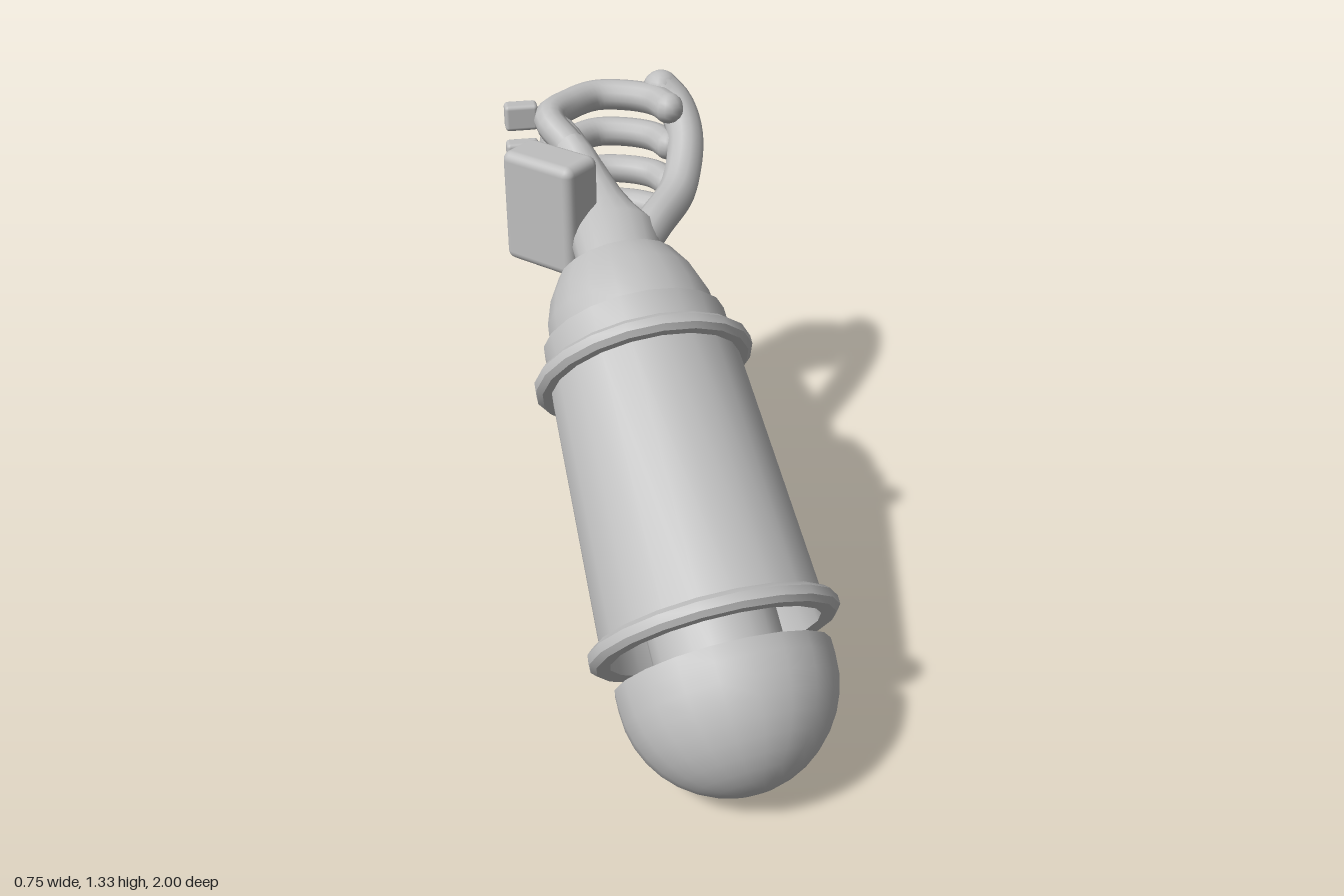
import * as THREE from 'three';
import { toCreasedNormals } from 'three/addons/utils/BufferGeometryUtils.js';
import { RoundedBoxGeometry } from 'three/addons/geometries/RoundedBoxGeometry.js';

const grey = new THREE.MeshStandardMaterial({ color: 0xbfbfbf });
grey.name = 'grey';

function add(parent, name, geometry, x = 0, y = 0, z = 0) {
  const mesh = new THREE.Mesh(geometry, grey);
  mesh.name = name;
  mesh.position.set(x, y, z);
  parent.add(mesh);
  return mesh;
}

// Turned part from [radius, height] pairs, listed bottom to top
function turned(points) {
  const profile = points.map(([r, h]) => new THREE.Vector2(r, h));
  return toCreasedNormals(new THREE.LatheGeometry(profile, 20), 0.5);
}

// Elliptical sections [x, y, z, halfWidth, halfHeight], running towards -z
function loft(sections, sides = 20) {
  const pos = [], index = [];
  for (const [x, y, z, w, h] of sections) {
    for (let j = 0; j < sides; j++) {
      const a = (j / sides) * Math.PI * 2;
      pos.push(x + w * Math.cos(a), y + h * Math.sin(a), z);
    }
  }
  const last = sections.length - 1;
  pos.push(...sections[last].slice(0, 3));
  for (let j = 0; j < sides; j++) {
    const k = (j + 1) % sides;
    for (let i = 0; i < last; i++) {
      const a = i * sides + j, b = i * sides + k;
      index.push(a, a + sides, b, b, a + sides, b + sides);
    }
    index.push((last + 1) * sides, last * sides + k, last * sides + j);
  }
  const g = new THREE.BufferGeometry();
  g.setAttribute('position', new THREE.Float32BufferAttribute(pos, 3));
  g.setIndex(index);
  g.computeVertexNormals();
  return g;
}

// Bent tube with a round tip
function digit(parent, name, points, radius) {
  const path = points.map((p) => new THREE.Vector3(...p));
  const group = new THREE.Group();
  group.name = name;
  add(group, name + 'Tube', new THREE.TubeGeometry(new THREE.CatmullRomCurve3(path), 28, radius, 12));
  const tip = path[path.length - 1];
  add(group, name + 'Tip', new THREE.SphereGeometry(radius, 12, 10), tip.x, tip.y, tip.z);
  parent.add(group);
}

export function createModel() {
  const model = new THREE.Group();
  model.name = 'mechanicalArm';

  // Forearm, turned around its own tilted axis
  const forearm = new THREE.Group();
  forearm.name = 'forearm';
  forearm.position.set(-0.037, 0.38, 0.605);
  forearm.rotation.x = -0.969;
  model.add(forearm);

  // Elbow dome
  const dome = [];
  for (let i = 0; i <= 9; i++) {
    const a = (i / 9) * Math.PI / 2;
    dome.push([0.29 * Math.sin(a), -0.132 - 0.29 * Math.cos(a)]);
  }
  dome.push([0.29, -0.09], [0, -0.09]);
  add(forearm, 'elbowDome', turned(dome));
  add(forearm, 'elbowNeck', turned([[0.175, -0.1], [0.175, 0.16]]));

  // Main shell, hollow at its lower end
  add(forearm, 'forearmShell', turned([
    [0, 0.15], [0.27, 0.15], [0.285, -0.02], [0.303, -0.02], [0.268, 0.77],
  ]));

  // Raised rings
  const ring = (r, inner) => turned([
    [inner, -0.026], [r - 0.015, -0.026], [r, -0.012], [r, 0.012], [r - 0.015, 0.026], [inner - 0.03, 0.026],
  ]);
  add(forearm, 'lowerRing', ring(0.338, 0.287));
  add(forearm, 'upperRing', ring(0.31, 0.255), 0, 0.772, 0);

  // Stepped cuff
  add(forearm, 'cuff', turned([
    [0.263, 0], [0.261, 0.115], [0.24, 0.115], [0.235, 0.18], [0.212, 0.25], [0.172, 0.32], [0, 0.32],
  ]), 0, 0.772, 0);

  // Hand
  const hand = new THREE.Group();
  hand.name = 'hand';
  model.add(hand);
  add(hand, 'wristAndPalm', loft([
    [-0.01, 0.95, -0.22, 0.13, 0.1],
    [-0.01, 0.982, -0.35, 0.125, 0.1],
    [0, 1.015, -0.45, 0.132, 0.1],
    [0, 1.03, -0.53, 0.1, 0.09],
    [-0.005, 1.05, -0.6, 0.08, 0.09],
    [-0.04, 1.08, -0.69, 0.078, 0.145],
    [-0.068, 1.085, -0.77, 0.077, 0.19],
    [-0.085, 1.085, -0.82, 0.058, 0.2],
    [-0.088, 1.085, -0.84, 0.03, 0.17],
  ]));

  digit(hand, 'thumb', [
    [0.03, 0.99, -0.38], [0.13, 1.03, -0.49], [0.25, 1.07, -0.63],
    [0.315, 1.17, -0.77], [0.31, 1.245, -0.86], [0.277, 1.285, -0.9],
  ], 0.057);

  // Four curled fingers, each with a knuckle block
  const heights = [1.265, 1.143, 1.016, 0.9];
  ['indexFinger', 'middleFinger', 'ringFinger', 'littleFinger'].forEach((name, i) => {
    const y = heights[i], r = i === 0 ? 0.047 : 0.045;
    digit(hand, name, [
      [-0.07, y + (1.08 - y) * 0.25, -0.7], [-0.105, y, -0.8], [-0.02, y, -0.9],
      [0.08, y, -0.952], [0.18, y, -0.92], [0.245, y, -0.86], [0.265, y, i === 3 ? -0.83 : -0.785],
    ], r);
    const block = add(hand, name + 'Knuckle', new RoundedBoxGeometry(0.1, 0.08, 0.055, 2, 0.012), -0.18, y, -0.855);
    block.rotation.y = -0.12;
  });

  // Block on the back of the hand
  const plate = add(hand, 'backOfHandBlock', new RoundedBoxGeometry(0.145, 0.345, 0.255, 3, 0.028), -0.16, 1.083, -0.575);
  plate.rotation.y = 0.66;

  return model;
}
